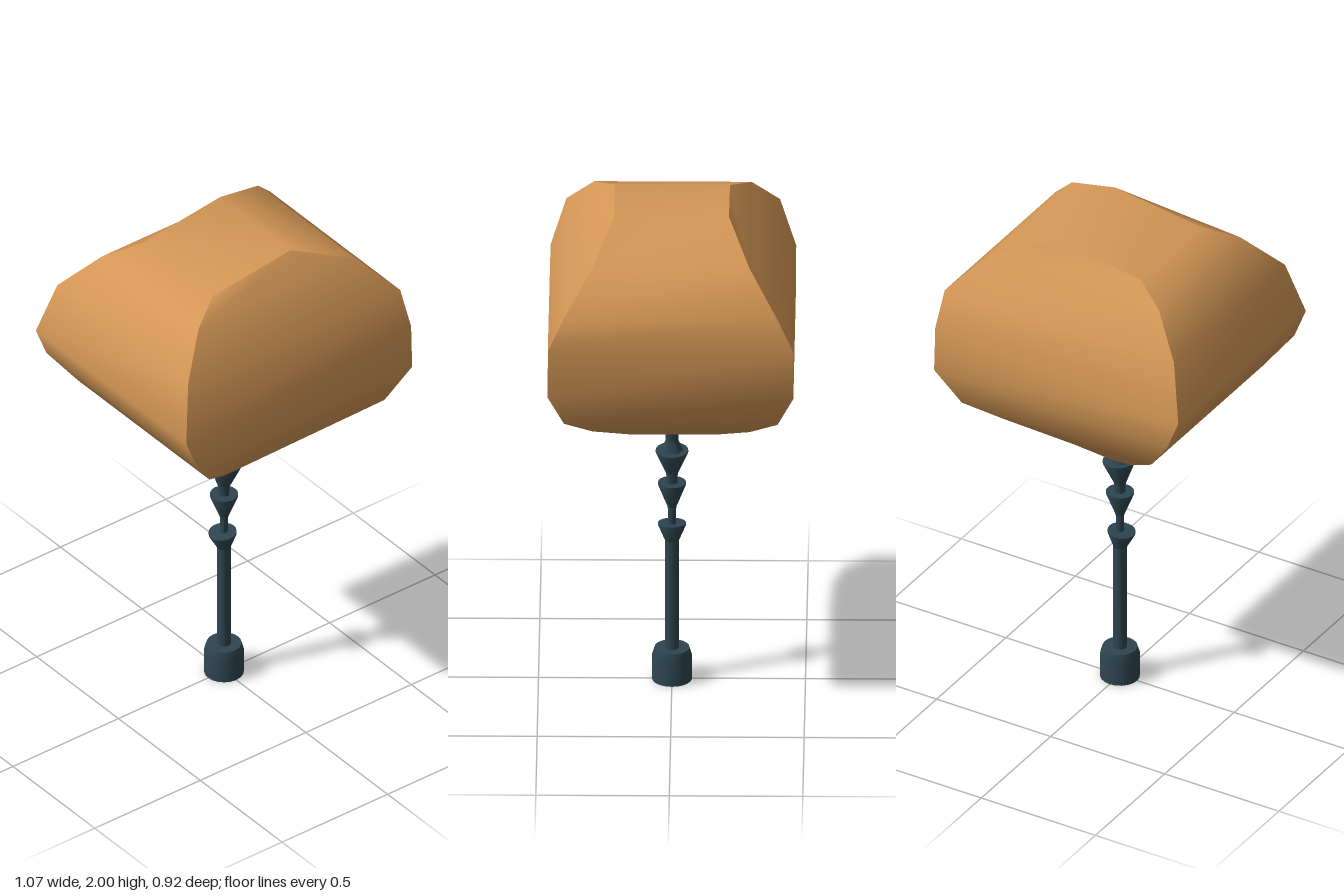
import * as THREE from 'three';
import { toCreasedNormals } from 'three/addons/utils/BufferGeometryUtils.js';

const wood = new THREE.MeshStandardMaterial({ color: 0xd49756 });
wood.name = 'warm tan';
const metal = new THREE.MeshStandardMaterial({ color: 0x2e4550 });
metal.name = 'dark slate';

// Smooth band of quads running through pairs of points
function band(pairs) {
  const index = [];
  for (let i = 0; i < pairs.length - 1; i++) {
    const a = 2 * i;
    index.push(a, a + 1, a + 3, a, a + 3, a + 2);
  }
  const geometry = new THREE.BufferGeometry();
  geometry.setAttribute('position', new THREE.Float32BufferAttribute(pairs.flat(2), 3));
  geometry.setIndex(index);
  geometry.computeVertexNormals();
  return geometry;
}

// Turned part with crisp edges from [radius, height] points
function turned(points) {
  const profile = points.map(([r, y]) => new THREE.Vector2(r, y));
  return toCreasedNormals(new THREE.LatheGeometry(profile, 20), 0.6);
}

export function createModel() {
  const group = new THREE.Group();
  const add = (name, geometry, material, parent = group) => {
    const mesh = new THREE.Mesh(geometry, material);
    mesh.name = name;
    parent.add(mesh);
    return mesh;
  };

  // Head: tilted rectangular rings, bottom to top
  // [left x, left y, right x, right y, half depth]
  const rings = [
    [-0.06, 1.065, 0.13, 1.08, 0.16],
    [-0.23, 1.17, 0.33, 1.19, 0.295],
    [-0.38, 1.28, 0.45, 1.28, 0.4],
    [-0.485, 1.42, 0.535, 1.43, 0.46],
    [-0.535, 1.545, 0.53, 1.62, 0.46],
    [-0.48, 1.765, 0.525, 1.755, 0.4],
    [-0.35, 1.9, 0.39, 1.9, 0.295],
    [-0.22, 1.95, 0.15, 2, 0.215],
  ];
  const left = rings.map(([x, y, , , d]) => [[x, y, d], [x, y, -d]]);
  const right = rings.map(([, , x, y, d]) => [[x, y, d], [x, y, -d]]);

  const head = new THREE.Group();
  head.name = 'head';
  group.add(head);
  add('headFront', band(rings.map((r, i) => [left[i][0], right[i][0]])), wood, head);
  add('headBack', band(rings.map((r, i) => [right[i][1], left[i][1]])), wood, head);
  add('headSidesAndTop', band([...right, ...[...left].reverse()]), wood, head);
  add('headUnderside', band([left[0], right[0]]), wood, head);

  // Foot and pole
  add('foot', turned([[0, 0], [0.075, 0], [0.075, 0.1], [0.066, 0.13], [0, 0.13]]), metal);
  add('pole', turned([[0, 0.12], [0.026, 0.12], [0.026, 0.59], [0, 0.59]]), metal);

  // Flared collars: [base y, top y, base radius, rim radius, tilt]
  const collars = [
    [0.575, 0.646, 0.026, 0.053, 0.1],
    [0.72, 0.818, 0.018, 0.053, 0],
    [0.865, 0.955, 0.026, 0.061, -0.06],
  ];
  for (const [y0, y1, r0, r1, tilt] of collars) {
    const h = y1 - y0;
    const collar = add('collar', turned(
      [[0, 0], [r0, 0], [r1, h - 0.008], [r1, h], [0, h]]), metal);
    collar.position.y = y0;
    collar.rotation.z = tilt;
  }

  // Necks between the collars and up to the head
  add('lowerNeck', turned([[0.015, 0.63], [0.015, 0.7], [0.018, 0.73]]), metal);
  add('middleNeck', turned([[0.02, 0.81], [0.02, 0.84], [0.026, 0.87]]), metal);
  add('upperNeck', turned([[0.045, 0.945], [0.025, 0.99], [0.025, 1.015], [0.035, 1.05], [0.035, 1.07], [0, 1.07]]), metal);

  return group;
}
